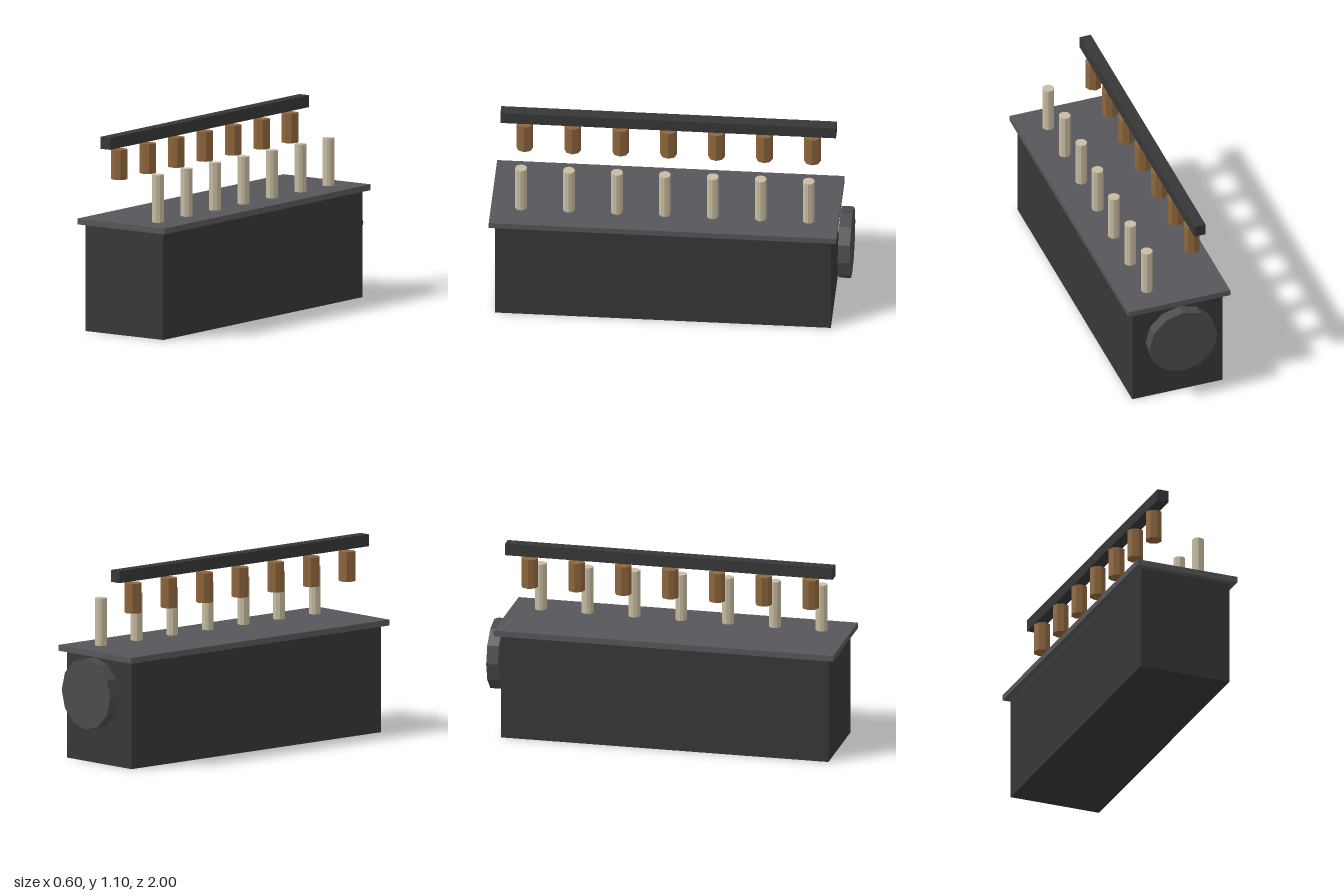
import * as THREE from 'three';

function material(name, color) {
  const m = new THREE.MeshStandardMaterial({ color });
  m.name = name;
  return m;
}

export function createModel() {
  const model = new THREE.Group();
  model.name = 'engineBlock';

  const charcoal = material('charcoal', 0x373737);
  const slate = material('slateGrey', 0x57565b);
  const iron = material('ironGrey', 0x4b4b4e);
  const copper = material('copperBrown', 0x8e663c);
  const ivory = material('paleMetal', 0xc8bda2);

  function add(name, geometry, mat, x, y, z) {
    const mesh = new THREE.Mesh(geometry, mat);
    mesh.name = name;
    mesh.position.set(x, y, z);
    model.add(mesh);
    return mesh;
  }

  // Faceted cylinder with flat sides and one corner on +x
  function prism(radius, height, sides) {
    const g = new THREE.CylinderGeometry(radius, radius, height, sides);
    g.rotateY(Math.PI / 2);
    const flat = g.toNonIndexed();
    flat.computeVertexNormals();
    return flat;
  }

  // Main block and the overhanging cover plate
  add('block', new THREE.BoxGeometry(0.533, 0.6, 1.867), charcoal, 0, 0.3, 0.033);
  add('coverPlate', new THREE.BoxGeometry(0.6, 0.033, 1.933), slate, 0, 0.6165, 0.0335);

  // Round flywheel standing just behind the block
  const wheel = prism(0.2, 0.067, 12);
  wheel.rotateX(Math.PI / 2);
  add('flywheel', wheel, iron, 0, 0.4, -0.9665);

  // Raised rail along the right side
  add('rail', new THREE.BoxGeometry(0.067, 0.067, 1.867), charcoal, -0.133, 1.0665, 0.033);

  // Seven pairs of hanging plugs and upright rods
  const plug = prism(0.0467, 0.167, 8);
  const rod = prism(0.0333, 0.267, 10);
  for (let i = 0; i < 7; i++) {
    const z = -0.767 + i * 0.2667;
    add('plug' + (i + 1), plug, copper, -0.133, 0.9335, z);
    add('rod' + (i + 1), rod, ivory, 0.133, 0.7665, z);
  }

  return model;
}
